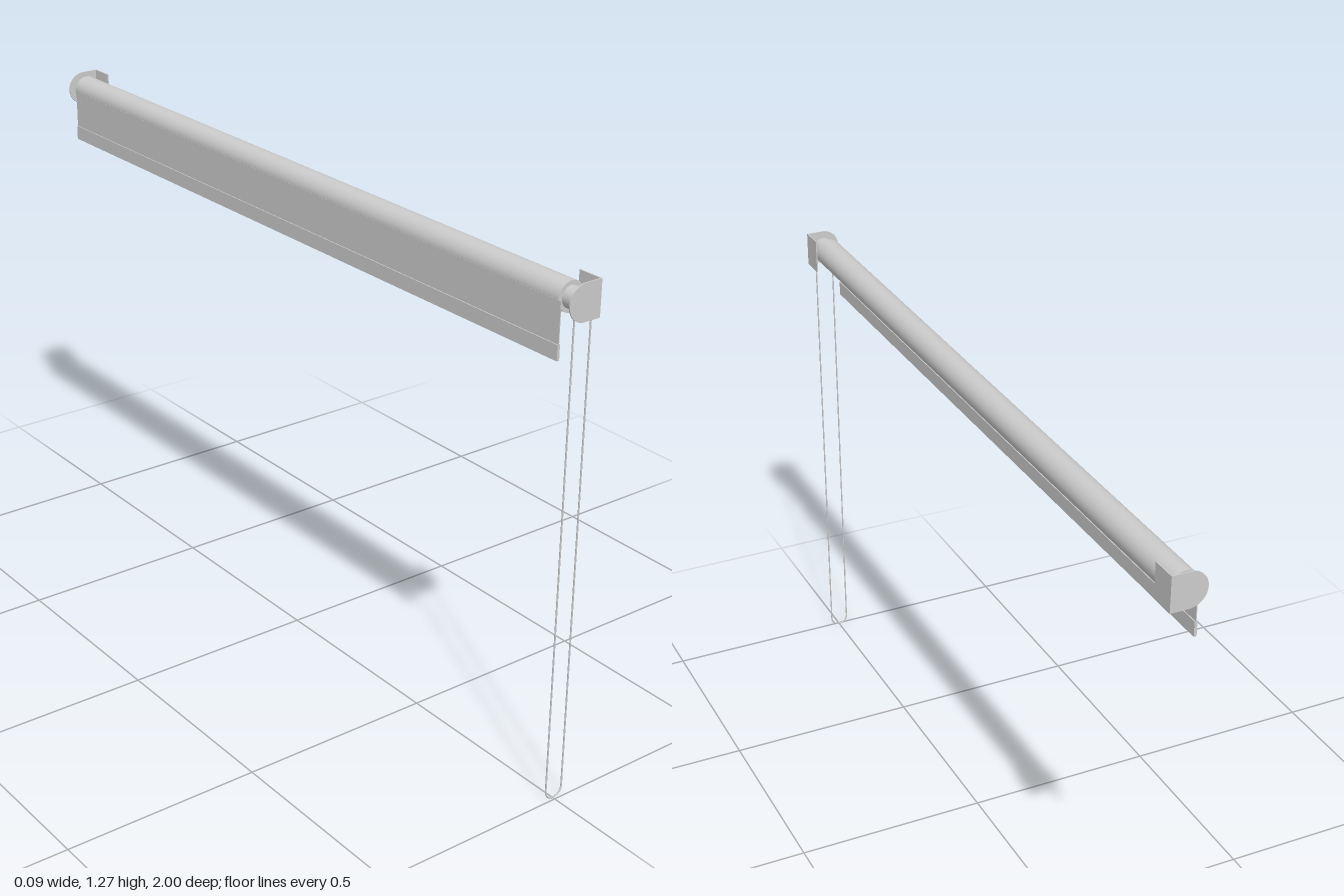
import * as THREE from 'three';

const material = new THREE.MeshStandardMaterial({ color: 0xcccccc, side: THREE.DoubleSide });
const AXIS_Y = 1.229;

export function createModel() {
  const model = new THREE.Group();
  model.name = 'rollerBlind';

  const add = (name, geometry, x = 0, y = 0, z = 0, parent = model) => {
    const mesh = new THREE.Mesh(geometry, material);
    mesh.name = name;
    mesh.position.set(x, y, z);
    parent.add(mesh);
    return mesh;
  };

  // Cylinder lying along z between two stations
  const rod = (name, radius, z0, z1) =>
    add(name, new THREE.CylinderGeometry(radius, radius, z1 - z0, 48).rotateX(Math.PI / 2), 0, AXIS_Y, (z0 + z1) / 2);

  // Rolled fabric, chain wheel and idle pin
  rod('fabricRoll', 0.036, -0.98, 0.957);
  rod('chainWheel', 0.026, 0.957, 0.997);
  rod('endPin', 0.022, -0.997, -0.98);

  // Hanging fabric and its hem bar
  const hang = (name, thickness, y0, y1) =>
    add(name, new THREE.BoxGeometry(thickness, y1 - y0, 1.94), -0.0355, (y0 + y1) / 2, -0.005);
  hang('fabric', 0.002, 1.12, AXIS_Y);
  hang('hemBar', 0.007, 1.095, 1.132);

  // Brackets: plate rounded towards -x, with a wall flange on +x
  const r = 0.044, t = 0.003;
  const plate = new THREE.Shape();
  plate.moveTo(r, -r);
  plate.lineTo(r, r);
  plate.lineTo(0, r);
  plate.absarc(0, 0, r, Math.PI / 2, Math.PI * 1.5, false);
  plate.lineTo(r, -r);
  const plateGeometry = new THREE.ExtrudeGeometry(plate, { depth: t, bevelEnabled: false, curveSegments: 24 });
  for (const side of [1, -1]) {
    const bracket = new THREE.Group();
    bracket.name = side > 0 ? 'frontBracket' : 'backBracket';
    bracket.position.y = AXIS_Y;
    add('endPlate', plateGeometry, 0, 0, side > 0 ? 1 - t : -1, bracket);
    add('wallFlange', new THREE.BoxGeometry(t, r * 2, 0.065), r - t / 2, 0, side * 0.9675, bracket);
    model.add(bracket);
  }

  // Endless pull chain looped over the wheel
  const c = 0.024, wire = 0.002, chainZ = 0.994, low = c + wire;
  const path = new THREE.CurvePath();
  const v = (x, y) => new THREE.Vector3(x, y, chainZ);
  class Arc extends THREE.Curve {
    constructor(y, start) {
      super();
      this.y = y;
      this.start = start;
    }
    getPoint(u, target = new THREE.Vector3()) {
      const a = this.start + u * Math.PI;
      return target.set(c * Math.cos(a), this.y + c * Math.sin(a), chainZ);
    }
  }
  path.add(new THREE.LineCurve3(v(c, low), v(c, AXIS_Y)));
  path.add(new Arc(AXIS_Y, 0));
  path.add(new THREE.LineCurve3(v(-c, AXIS_Y), v(-c, low)));
  path.add(new Arc(low, Math.PI));
  add('pullChain', new THREE.TubeGeometry(path, 500, wire, 8, true));

  return model;
}
